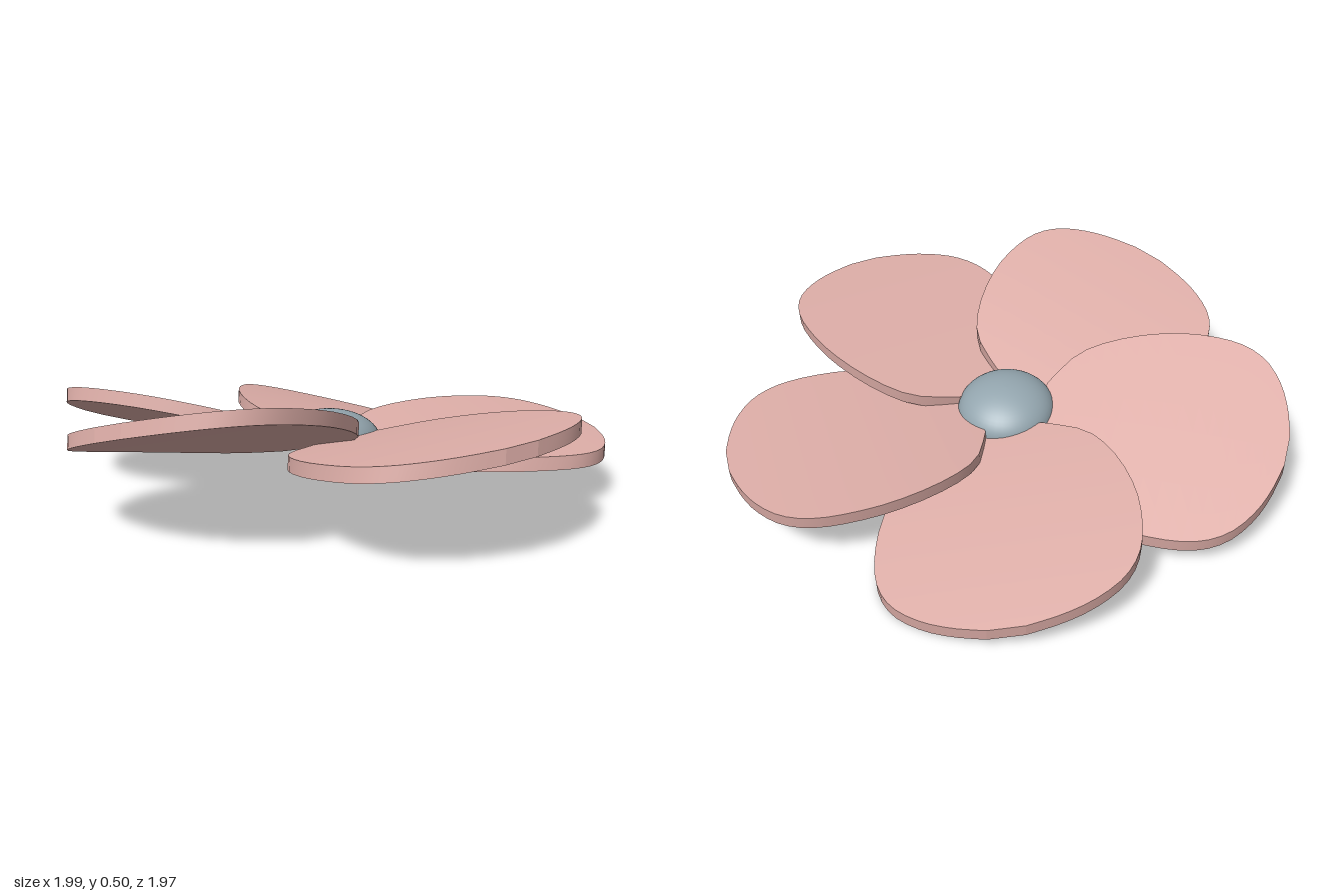
import * as THREE from 'three';

const PETALS = 5;
const THICKNESS = 0.048;

// Half outline of a petal: half width against distance from the hub axis
const outline = new THREE.SplineCurve([
  [0.13, 0.12], [0.28, 0.2], [0.37, 0.34], [0.425, 0.52], [0.435, 0.68], [0.415, 0.8],
  [0.36, 0.89], [0.27, 0.955], [0.17, 0.995], [0.06, 1.02],
].map(([w, r]) => new THREE.Vector2(w, r)));

// A slab bent to the outline, arched outward and pitched like a blade
function petalGeometry() {
  const geometry = new THREE.BoxGeometry(1, 1, 1, 8, 1, 22);
  const position = geometry.attributes.position;
  for (let i = 0; i < position.count; i++) {
    const { x: halfWidth, y: r } = outline.getPoint(0.5 - position.getZ(i));
    const t = 2 * position.getX(i) * halfWidth;
    const arch = 0.08 * (1 - (1 - r) ** 2);
    const pitch = -0.185 * t;
    const layer = (position.getY(i) - 0.5) * THICKNESS;
    position.setXYZ(i, t, arch + pitch + layer, -r);
  }
  geometry.computeVertexNormals();
  return geometry;
}

// Flattened dome with a closed flat base
function hubGeometry() {
  const radius = 0.18, height = 0.11, steps = 14;
  const dome = [];
  for (let i = 0; i <= steps; i++) {
    const a = (i / steps) * Math.PI / 2;
    dome.push(new THREE.Vector2(radius * Math.cos(a), height * Math.sin(a)));
  }
  return new THREE.LatheGeometry(dome, 40);
}

export function createModel() {
  const model = new THREE.Group();
  model.name = 'flower';
  const pink = new THREE.MeshStandardMaterial({ color: 0xdfafa9 });
  const blueGrey = new THREE.MeshStandardMaterial({ color: 0x93a5ae });

  // The whole flower head leans a little to the back
  const head = new THREE.Group();
  head.name = 'flowerHead';
  head.position.set(-0.03, 0.2, 0.015);
  head.rotation.set(-0.165, 0, -0.043);
  model.add(head);

  // Ring of overlapping petals
  const geometry = petalGeometry();
  for (let i = 0; i < PETALS; i++) {
    const petal = new THREE.Mesh(geometry, pink);
    petal.name = `petal${i + 1}`;
    petal.rotation.y = -(0.078 + (i * 2 * Math.PI) / PETALS);
    head.add(petal);
  }

  // Centre dome and its underside
  const hub = new THREE.Mesh(hubGeometry(), blueGrey);
  hub.name = 'centreDome';
  head.add(hub);
  const base = new THREE.Mesh(new THREE.CircleGeometry(0.18, 40), blueGrey);
  base.name = 'centreBase';
  base.rotation.x = Math.PI / 2;
  head.add(base);

  return model;
}
